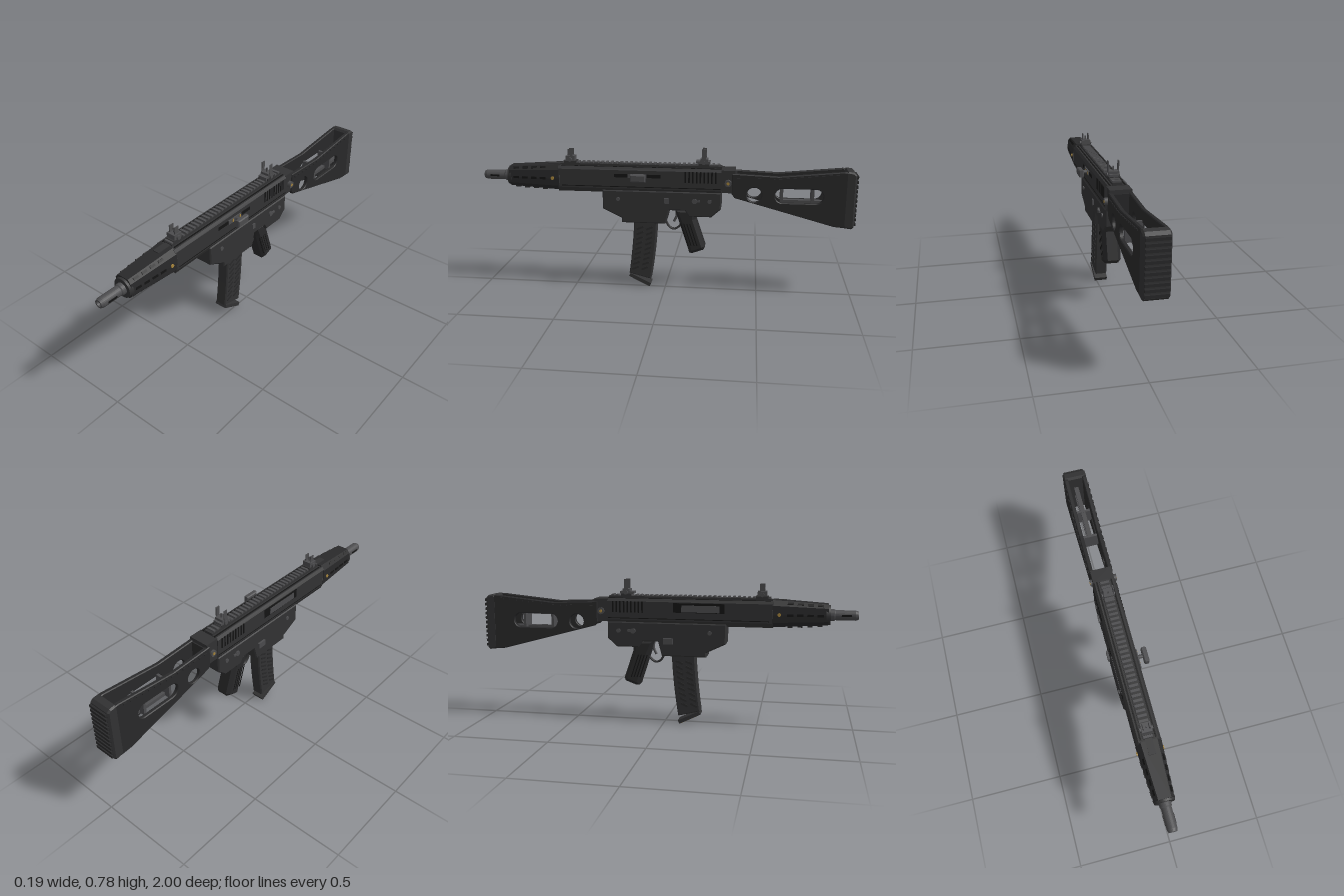
import * as THREE from 'three';

const mat = (name, color) => Object.assign(new THREE.MeshStandardMaterial({ color }), { name });

export function createModel() {
  const body = mat('receiver grey', 0x323233);
  const poly = mat('polymer black', 0x29292a);
  const steel = mat('steel grey', 0x4c4c4e);
  const dark = mat('recess black', 0x141414);
  const brass = mat('brass', 0xa8863c);
  const olive = mat('olive', 0x7c6638);

  const root = new THREE.Group();
  root.name = 'prop';
  const gun = new THREE.Group();
  gun.name = 'assembly';
  gun.position.x = -0.024; // parts are symmetric about this plane
  root.add(gun);

  const add = (name, geo, material, x = 0, y = 0, z = 0) => {
    const m = new THREE.Mesh(geo, material);
    m.name = name;
    m.position.set(x, y, z);
    gun.add(m);
    return m;
  };
  const box = (name, material, w, h, d, x, y, z) =>
    add(name, new THREE.BoxGeometry(w, h, d), material, x, y, z);
  const tubeX = (name, material, r, len, x, y, z, n = 16) =>
    add(name, new THREE.CylinderGeometry(r, r, len, n).rotateZ(Math.PI / 2), material, x, y, z);
  const shapeOf = pts => new THREE.Shape(pts.map(p => new THREE.Vector2(...p)));
  // side profile in (z, y), extruded across x with a small bevel
  const profile = (name, material, shape, width, x = 0, bevel = 0.006) => {
    const geo = new THREE.ExtrudeGeometry(shape, {
      depth: width - 2 * bevel, bevelEnabled: bevel > 0, bevelSize: bevel, bevelThickness: bevel,
      bevelOffset: -bevel, bevelSegments: 1, curveSegments: 20,
    });
    geo.translate(0, 0, -(width / 2 - bevel)).rotateY(-Math.PI / 2);
    return add(name, geo, material, x);
  };
  // cross-section in (x, y), extruded along z
  const along = (pts, z0, z1) => new THREE.ExtrudeGeometry(shapeOf(pts),
    { depth: z1 - z0, bevelEnabled: false }).translate(0, 0, z0);
  const both = fn => [-1, 1].forEach(fn);

  // upper receiver
  add('upperReceiver', along([[-0.05, 0.542], [0.05, 0.542], [0.061, 0.565], [0.061, 0.664],
    [0.05, 0.678], [-0.05, 0.678], [-0.061, 0.664], [-0.061, 0.565]], -0.3, 0.575), body);
  box('topRail', body, 0.052, 0.014, 0.86, 0, 0.682, 0.13);
  for (let z = -0.28; z < 0.56; z += 0.026) box('railTooth', steel, 0.046, 0.01, 0.013, 0, 0.692, z);
  both(s => {
    box('railGroove', dark, 0.008, 0.004, 0.86, s * 0.038, 0.6775, 0.13);
    for (let i = 0; i < 9; i++) box('rearSerration', dark, 0.004, 0.06, 0.008, s * 0.061, 0.635, -0.27 + i * 0.02);
    box('seam', dark, 0.003, 0.004, 0.85, s * 0.0605, 0.575, 0.13);
  });
  box('frontLatch', steel, 0.126, 0.05, 0.014, 0, 0.61, 0.575);

  // ejection port on the right, handle slot on the left
  box('ejectionPort', dark, 0.004, 0.05, 0.27, -0.061, 0.635, 0.19);
  box('boltCover', steel, 0.004, 0.036, 0.2, -0.0625, 0.631, 0.2);
  box('handleSlot', dark, 0.004, 0.018, 0.25, 0.061, 0.635, 0.145);
  box('handleSlide', steel, 0.01, 0.022, 0.1, 0.063, 0.635, 0.145);
  tubeX('handleStem', steel, 0.01, 0.035, 0.08, 0.633, 0.135);
  profile('handleKnob', steel, shapeOf([[0.095, 0.613], [0.175, 0.613], [0.175, 0.652], [0.095, 0.652]]), 0.027, 0.103, 0.005);
  both(s => box('handleAccent', brass, 0.004, 0.016, 0.008, 0.067, 0.635, 0.135 + s * 0.028));

  // lower receiver with magazine well
  profile('lowerReceiver', body, shapeOf([[0.335, 0.555], [0.335, 0.45], [0.232, 0.4], [0.232, 0.376],
    [-0.005, 0.376], [-0.025, 0.452], [-0.11, 0.452], [-0.13, 0.42], [-0.25, 0.42], [-0.3, 0.465], [-0.3, 0.555]]), 0.122);
  both(s => {
    for (const z of [0.25, -0.24]) tubeX('pin', steel, 0.011, 0.008, s * 0.063, 0.507, z);
    tubeX('selectorHub', steel, 0.014, 0.012, s * 0.063, 0.507, -0.16);
    box('selectorLever', steel, 0.008, 0.01, 0.04, s * 0.066, 0.508, -0.17);
  });
  box('magazineRelease', steel, 0.01, 0.03, 0.022, 0.062, 0.505, -0.01);
  box('boltRelease', steel, 0.014, 0.032, 0.05, -0.065, 0.458, 0.03);

  // trigger and guard
  const guard = new THREE.CatmullRomCurve3([[0.45, 0.005], [0.39, 0.002], [0.345, -0.02], [0.333, -0.047],
    [0.35, -0.075], [0.385, -0.095]].map(([y, z]) => new THREE.Vector3(0, y, z)));
  add('triggerGuard', new THREE.TubeGeometry(guard, 24, 0.006, 8), body).scale.x = 2;
  const trigger = new THREE.CatmullRomCurve3([[0.46, -0.055], [0.41, -0.06], [0.375, -0.045]]
    .map(([y, z]) => new THREE.Vector3(0, y, z)));
  add('trigger', new THREE.TubeGeometry(trigger, 12, 0.007, 8), steel);

  // pistol grip
  profile('grip', poly, shapeOf([[-0.05, 0.455], [-0.075, 0.385], [-0.09, 0.34], [-0.133, 0.207],
    [-0.15, 0.206], [-0.21, 0.228], [-0.217, 0.245], [-0.165, 0.4], [-0.165, 0.455]]), 0.092, 0, 0.018);
  both(s => {
    for (let i = 0; i < 4; i++)
      box('gripGroove', dark, 0.003, 0.13, 0.005, s * 0.0455, 0.315, -0.107 - i * 0.016).rotation.x = 0.32;
  });

  // curved magazine
  const magazine = new THREE.Shape();
  magazine.moveTo(0.168, 0.4);
  magazine.quadraticCurveTo(0.178, 0.22, 0.2, 0.075);
  magazine.lineTo(0.08, 0.045);
  magazine.quadraticCurveTo(0.05, 0.22, 0.043, 0.4);
  profile('magazine', body, magazine, 0.066);
  both(s => {
    for (let i = 0; i < 9; i++) {
      const y = 0.34 - i * 0.029, z = 0.112 + 0.028 * (i / 8) ** 1.5;
      for (const d of [-0.027, 0.025])
        box('magazineRib', poly, 0.008, 0.011, 0.04, s * 0.032, y, z + d).rotation.x = 0.4;
    }
  });
  const floor = new THREE.Group();
  floor.name = 'magazineFloor';
  floor.position.set(0, 0.039, 0.14);
  floor.rotation.x = -0.46;
  const plate = new THREE.Mesh(new THREE.BoxGeometry(0.07, 0.02, 0.128), body);
  plate.name = 'floorPlate';
  const panel = new THREE.Mesh(new THREE.BoxGeometry(0.054, 0.004, 0.108), olive);
  panel.name = 'floorPanel';
  panel.position.y = -0.01;
  floor.add(plate, panel);
  gun.add(floor);

  // tapered handguard
  const guardGeo = along([[-0.04, 0.545], [0.04, 0.545], [0.063, 0.57], [0.066, 0.61], [0.063, 0.658],
    [0.042, 0.685], [-0.042, 0.685], [-0.063, 0.658], [-0.066, 0.61], [-0.063, 0.57]], 0.57, 0.85);
  const p = guardGeo.attributes.position;
  for (let i = 0; i < p.count; i++) {
    const k = 1 - 0.24 * (p.getZ(i) - 0.57) / 0.28;
    p.setXY(i, p.getX(i) * k, 0.61 + (p.getY(i) - 0.61) * k);
  }
  guardGeo.computeVertexNormals();
  add('handguard', guardGeo, poly);
  add('handguardCap', new THREE.CylinderGeometry(0.05, 0.055, 0.022, 24).rotateX(Math.PI / 2), body, 0, 0.61, 0.85);
  for (let i = 0; i < 4; i++) {
    const z = 0.66 + i * 0.05, t = 1 - 0.24 * (z - 0.57) / 0.28;
    both(s => {
      box('sideVent', dark, 0.008, 0.012, 0.032, s * 0.0645 * t, 0.61, z).rotation.y = -s * 0.057;
      box('topVent', dark, 0.006, 0.012, 0.03, s * 0.052 * t, 0.61 + 0.0625 * t, z).rotation.z = s * 0.7;
    });
    box('lowerRib', poly, 0.05, 0.016, 0.026, 0, 0.61 - 0.066 * t, z);
  }
  box('topStrip', body, 0.036, 0.01, 0.08, 0, 0.68, 0.6);
  both(s => tubeX('handguardPin', brass, 0.009, 0.008, s * 0.065, 0.612, 0.605));

  // barrel and muzzle
  const barrel = new THREE.LatheGeometry([[0.03, 0.84], [0.03, 0.88], [0.026, 0.885], [0.026, 0.985],
    [0.021, 1], [0.014, 1], [0.014, 0.93], [0, 0.93]].map(a => new THREE.Vector2(...a)), 28).rotateX(Math.PI / 2);
  const flat = barrel.toNonIndexed();
  flat.computeVertexNormals();
  add('barrel', flat, steel, 0, 0.61, 0);
  both(s => box('muzzleSlot', dark, 0.004, 0.01, 0.05, s * 0.0255, 0.61, 0.94));

  // sights
  const sight = (name, z, ears, top, depth) => {
    box(name + 'Clamp', body, 0.056, 0.012, depth + 0.016, 0, 0.695, z);
    box(name + 'Base', steel, 0.05, 0.03, depth, 0, 0.712, z);
    both(s => box(name + 'Ear', steel, 0.005, top - 0.7, depth * 0.55, s * ears, (top + 0.7) / 2, z));
    box(name + 'Post', steel, 0.006, 0.03, 0.008, 0, 0.735, z);
    tubeX(name + 'Screw', steel, 0.011, 0.068, 0, 0.708, z, 12);
  };
  sight('frontSight', 0.515, 0.016, 0.763, 0.048);
  sight('rearSight', -0.205, 0.026, 0.778, 0.04);
  box('rearSightFoot', steel, 0.05, 0.012, 0.075, 0, 0.708, -0.2);

  // hinge
  box('hingeBlock', body, 0.112, 0.12, 0.075, 0, 0.615, -0.335);
  tubeX('hingePin', steel, 0.018, 0.142, 0.004, 0.61, -0.335);
  both(s => tubeX('hingePinCentre', brass, 0.008, 0.004, 0.004 + s * 0.071, 0.61, -0.335));

  // open skeleton stock
  const sidePts = [[-0.355, 0.66], [-0.6, 0.65], [-0.75, 0.665], [-0.93, 0.683], [-0.955, 0.68],
    [-0.955, 0.385], [-0.89, 0.39], [-0.37, 0.53], [-0.355, 0.55]];
  both(s => {
    const side = shapeOf(sidePts);
    side.holes.push(new THREE.Path().absarc(-0.472, 0.55, 0.039, 0, Math.PI * 2, true));
    const slot = new THREE.Path();
    slot.absarc(-0.618, 0.549, 0.038, Math.PI * 1.5, Math.PI / 2, true);
    slot.absarc(-0.79, 0.549, 0.038, Math.PI / 2, -Math.PI / 2, false);
    // slot runs between the two rounded ends
    const clean = new THREE.Path();
    clean.absarc(-0.618, 0.549, 0.038, -Math.PI / 2, Math.PI / 2, false);
    clean.absarc(-0.79, 0.549, 0.038, Math.PI / 2, Math.PI * 1.5, false);
    side.holes.push(clean);
    profile('stockSide', poly, side, 0.022, s * 0.05, 0.004);
    for (let i = 0; i < 15; i++) {
      const z = -0.39 - i * 0.036;
      const y = z > -0.6 ? 0.635 : 0.635 + (-0.6 - z) * 0.1;
      box('stockRib', poly, 0.008, 0.008, 0.018, s * 0.061, y, z);
    }
  });
  box('stockFront', poly, 0.1, 0.1, 0.025, 0, 0.605, -0.367);
  for (const z of [-0.615, -0.775]) box('stockCrossbar', steel, 0.085, 0.1, 0.014, 0, 0.55, z);
  for (const y of [0.588, 0.508]) box('stockRod', steel, 0.024, 0.018, 0.33, 0, y, -0.775);

  // ribbed butt pad
  profile('buttPad', body, shapeOf([[-0.935, 0.674], [-0.945, 0.686], [-0.975, 0.682], [-0.99, 0.668],
    [-0.992, 0.392], [-0.98, 0.38], [-0.945, 0.384], [-0.935, 0.4]]), 0.124, 0, 0.008);
  for (let i = 0; i < 11; i++) box('buttRidge', poly, 0.108, 0.014, 0.016, 0, 0.405 + i * 0.025, -0.992);

  return root;
}
